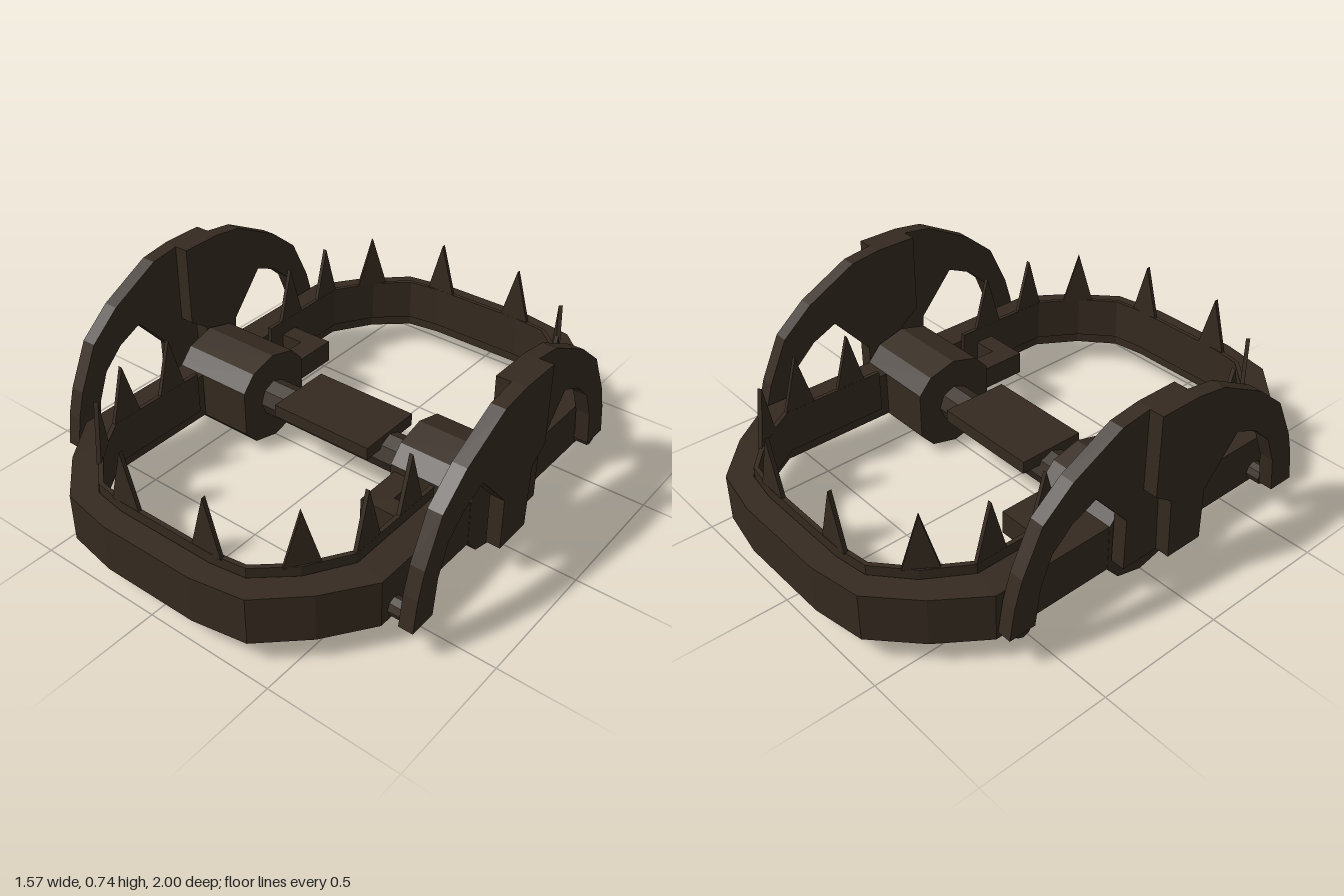
import * as THREE from 'three';

const iron = new THREE.MeshStandardMaterial({ color: 0x352a20, flatShading: true });
iron.name = 'darkIron';

const toShape = (pts) => new THREE.Shape(pts.map(([a, b]) => new THREE.Vector2(a, b)));
const extrude = (shape, depth) => new THREE.ExtrudeGeometry(shape, { depth, bevelEnabled: false });

// Outline in x/z, standing between y0 and y1
function slab(shape, y0, y1) {
  return extrude(shape, y1 - y0).rotateX(Math.PI / 2).translate(0, y1, 0);
}

// Outline in z/y, running from x0 to x1
function sidePlate(pts, x0, x1) {
  return extrude(toShape(pts), x1 - x0).rotateY(-Math.PI / 2).translate(x1, 0, 0);
}

// Repeats a quarter outline around both axes
function fourWay(q) {
  const r = [...q].reverse();
  return [
    ...q,
    ...r.map(([x, z]) => [x, -z]),
    ...q.map(([x, z]) => [-x, -z]),
    ...r.map(([x, z]) => [-x, z]),
  ];
}

export function createModel() {
  const model = new THREE.Group();
  model.name = 'jawTrap';
  const add = (name, geometry, parent = model) => {
    const mesh = new THREE.Mesh(geometry, iron);
    mesh.name = name;
    parent.add(mesh);
    return mesh;
  };
  const box = (x0, x1, y0, y1, z0, z1) =>
    new THREE.BoxGeometry(x1 - x0, y1 - y0, z1 - z0)
      .translate((x0 + x1) / 2, (y0 + y1) / 2, (z0 + z1) / 2);

  // Main ring; the hole runs the opposite way round to the outline
  const ring = toShape(fourWay([[0.19, 1], [0.39, 0.965], [0.545, 0.82], [0.667, 0.65]]));
  const opening = fourWay([[0.2, 0.911], [0.33, 0.891], [0.457, 0.78], [0.554, 0.627]]);
  ring.holes.push(toShape(opening.reverse()));
  add('ring', slab(ring, 0.092, 0.275));

  // Two toothed jaws lining the inside of the ring
  const outer = [[0.2, 0.907], [0.328, 0.888], [0.455, 0.777], [0.551, 0.626], [0.551, 0.21]];
  const inner = [[0.195, 0.89], [0.32, 0.873], [0.441, 0.766], [0.535, 0.62], [0.535, 0.21]];
  const mirrorX = ([x, z]) => [-x, z];
  const strip = toShape([
    ...outer.map(mirrorX).reverse(), ...outer,
    ...[...inner].reverse(), ...inner.map(mirrorX),
  ]);
  const tooth = extrude(toShape([[-0.062, 0], [0.062, 0], [0, 0.215]]), 0.015)
    .translate(0, 0, -0.0075);
  const teeth = [[0.18, 0.898, 0], [0.447, 0.763, 0.95], [0.543, 0.565, Math.PI / 2], [0.543, 0.34, Math.PI / 2]];
  for (const turn of [0, Math.PI]) {
    const jaw = new THREE.Group();
    jaw.name = turn ? 'backJaw' : 'frontJaw';
    jaw.rotation.y = turn;
    model.add(jaw);
    add('jawStrip', slab(strip, 0.14, 0.31), jaw);
    for (const s of [1, -1]) {
      for (const [x, z, yaw] of teeth) {
        const t = add('tooth', tooth, jaw);
        t.position.set(s * x, 0.305, z);
        t.rotation.y = s * yaw;
      }
    }
  }

  // Hubs, axle and trigger plate
  const hub = [
    [0, 0], [0.11, 0.028], [0.165, 0.09], [0.165, 0.275], [0.11, 0.335], [0, 0.365],
    [-0.11, 0.335], [-0.165, 0.275], [-0.165, 0.09], [-0.11, 0.028],
  ];
  add('leftHub', sidePlate(hub, 0.34, 0.668));
  add('rightHub', sidePlate(hub, -0.668, -0.34));
  add('axle', new THREE.CylinderGeometry(0.072, 0.072, 0.72, 8)
    .rotateZ(Math.PI / 2).translate(0, 0.18, 0));
  add('triggerPlate', box(-0.215, 0.215, 0.215, 0.265, -0.135, 0.135));

  // Hooked latches, one on each hub at opposite ends
  for (const turn of [0, Math.PI]) {
    const latch = add('latch', slab(toShape([
      [0.355, 0.13], [0.44, 0.13], [0.44, 0.28], [0.54, 0.28], [0.54, 0.355], [0.355, 0.355],
    ]), 0.16, 0.25));
    latch.rotation.y = turn;
  }

  // Arched springs: an outer and an inner half overlapping on each side
  const arch = [
    [0.65, 0.13], [0.63, 0.25], [0.6, 0.35], [0.52, 0.515], [0.4, 0.615], [0.2, 0.718],
    [0.08, 0.735], [-0.085, 0.735], [-0.085, 0.425], [-0.01, 0.372], [0, 0.13],
    [0.155, 0.13], [0.155, 0.335], [0.3, 0.5], [0.4, 0.455], [0.48, 0.38],
    [0.525, 0.27], [0.545, 0.13],
  ];
  const backArch = arch.map(([z, y]) => [-z, y]);
  for (const s of [1, -1]) {
    const side = s > 0 ? 'left' : 'right';
    const span = (a, b) => (s > 0 ? [a, b] : [-b, -a]);
    add(side + 'FrontSpring', sidePlate(arch, ...span(0.73, 0.785)));
    add(side + 'BackSpring', sidePlate(backArch, ...span(0.675, 0.73)));
    // Pins holding the spring feet
    for (const z of [0.585, -0.585]) {
      add(side + 'Pin', new THREE.CylinderGeometry(0.035, 0.035, 0.08, 8)
        .rotateZ(Math.PI / 2).translate(s * 0.68, 0.133, z));
    }
  }
  return model;
}
